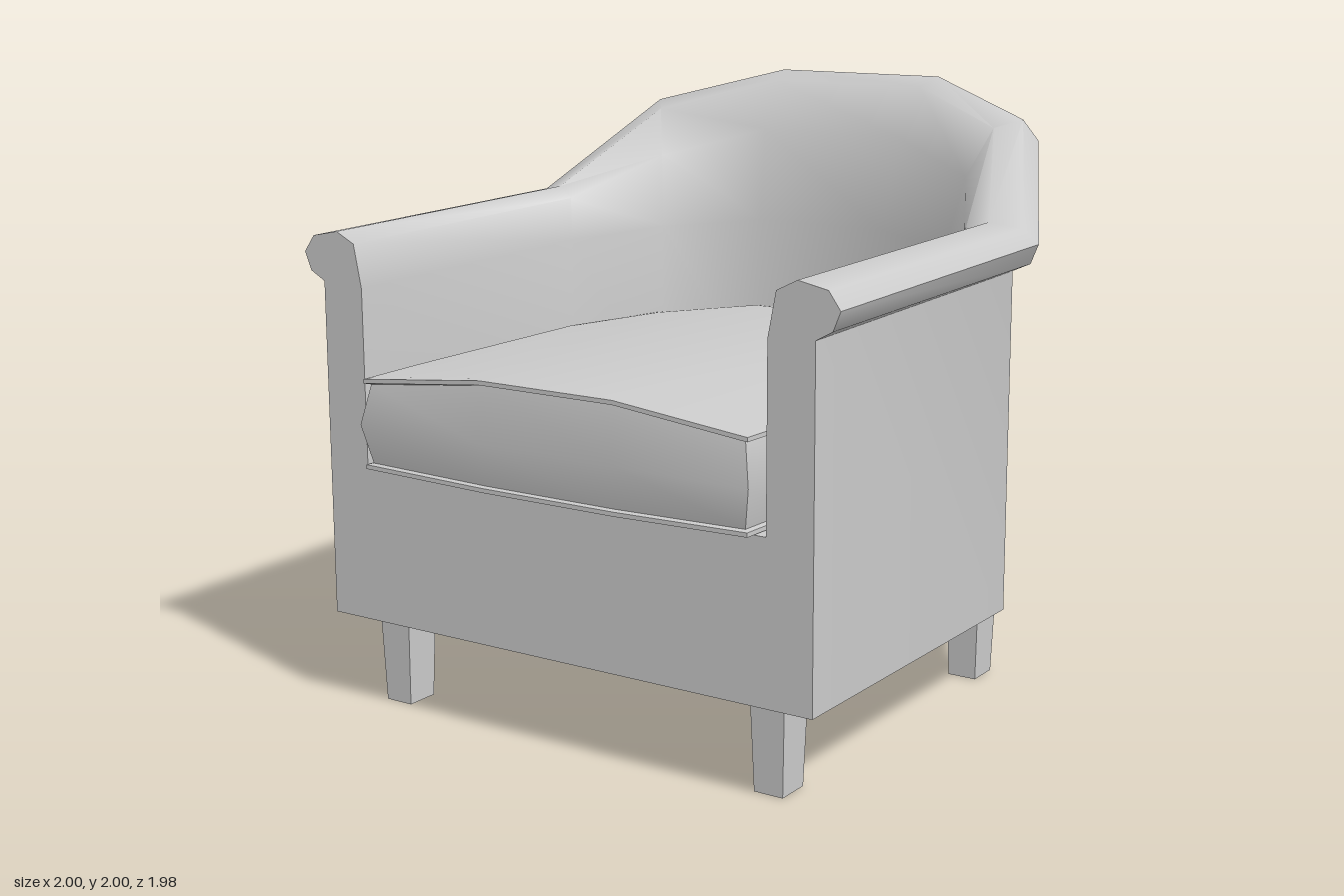
import * as THREE from 'three';
import { toCreasedNormals } from 'three/addons/utils/BufferGeometryUtils.js';

const material = new THREE.MeshStandardMaterial({ color: 0xcccccc, side: THREE.DoubleSide });

function part(name, geometry) {
  const mesh = new THREE.Mesh(geometry, material);
  mesh.name = name;
  return mesh;
}

// Skin a row of stations, each a column of [x, y, z] points
function skin(stations, crease, caps = []) {
  const m = stations[0].length;
  const index = [...caps];
  for (let i = 0; i < stations.length - 1; i++) {
    for (let j = 0; j < m - 1; j++) {
      const a = i * m + j, b = a + m;
      index.push(a, b, a + 1, b, b + 1, a + 1);
    }
  }
  const geometry = new THREE.BufferGeometry();
  geometry.setAttribute('position', new THREE.Float32BufferAttribute(stations.flat(2), 3));
  geometry.setIndex(index);
  return toCreasedNormals(geometry, crease);
}

const mirrorX = ([x, y, z]) => [-x, y, z];

// Cross-sections: outer wall, rolled top, inner wall; front of arm to middle of back
const ARM = [[0.92, 0.3], [0.92, 1.41], [0.975, 1.44], [1, 1.5], [0.96, 1.555],
  [0.86, 1.575], [0.79, 1.54], [0.762, 1.4], [0.76, 0.82]];
const SECTIONS = [
  ARM.map(([x, y]) => [x, y, 0.93]),
  [[0.92, 0.3, -0.3], [0.92, 1.44, -0.3], [0.975, 1.465, -0.315], [1, 1.53, -0.32], [0.96, 1.58, -0.29],
    [0.86, 1.6, -0.24], [0.79, 1.565, -0.21], [0.762, 1.42, -0.18], [0.76, 0.82, -0.18]],
  [[0.71, 0.3, -0.71], [0.71, 1.7, -0.71], [0.745, 1.725, -0.745], [0.77, 1.81, -0.78], [0.745, 1.885, -0.71],
    [0.68, 1.86, -0.62], [0.62, 1.7, -0.54], [0.575, 1.45, -0.48], [0.575, 0.82, -0.48]],
  [[0.3, 0.3, -0.9], [0.3, 1.81, -0.9], [0.31, 1.83, -0.945], [0.325, 1.94, -0.99], [0.32, 2, -0.9],
    [0.3, 1.97, -0.8], [0.275, 1.8, -0.7], [0.25, 1.48, -0.63], [0.25, 0.82, -0.63]],
];

function shellGeometry() {
  const other = SECTIONS.map((s) => s.map(mirrorX)).reverse();
  return skin([...SECTIONS, ...other], 0.95);
}

// Front panel with both arm ends
function frontGeometry() {
  const left = [...ARM].reverse().map(([x, y]) => [-x, y]);
  const outline = [...ARM, ...left].map(([x, y]) => new THREE.Vector2(x, y));
  return new THREE.ShapeGeometry(new THREE.Shape(outline)).translate(0, 0, 0.93);
}

// Flat deck under the cushion, following the inner wall
function deckGeometry() {
  const half = SECTIONS.map((s) => s[s.length - 1]);
  const outline = [...half, ...half.map(mirrorX).reverse()].map(([x, , z]) => new THREE.Vector2(x, -z));
  return new THREE.ShapeGeometry(new THREE.Shape(outline)).rotateX(-Math.PI / 2).translate(0, 0.82, 0);
}

// Crowned cushion with a bulging border and piping along top and bottom
function cushionGeometry() {
  const half = [[0.25, 0.97], [0.72, 0.97], [0.73, 0.7], [0.73, -0.13], [0.58, -0.45], [0.25, -0.61]];
  const ring = [...half, ...half.map(([x, z]) => [-x, z]).reverse()];
  // inset, height, crown
  const layers = [[0.02, 0.822, -0.01], [-0.005, 0.824, -0.01], [-0.005, 0.838, -0.01], [0.012, 0.842, -0.01],
    [-0.015, 0.97, 0], [0.012, 1.1, 0.05], [-0.005, 1.104, 0.05], [-0.005, 1.118, 0.05], [0.02, 1.122, 0.05]];
  const stations = ring.map(([x, z]) => layers.map(([inset, y, crown]) => [
    x * (1 - inset / 0.73),
    y + (Math.abs(x) < 0.3 ? crown : crown * Math.max(0, (0.72 - Math.abs(x)) / 0.47)),
    0.18 + (z - 0.18) * (1 - inset / 0.79),
  ]));
  const m = layers.length;
  const faces = [[0, 5, 6], [0, 6, 11]];
  for (let i = 1; i < 5; i++) faces.push([0, i, i + 1], [11, i + 5, i + 6]);
  const caps = faces.flatMap(([a, b, c]) => [
    a * m + m - 1, b * m + m - 1, c * m + m - 1,
    a * m, c * m, b * m,
  ]);
  return skin([...stations, stations[0]], 0.6, caps);
}

// Square leg, slightly narrower at the foot
function legGeometry() {
  const geometry = new THREE.BoxGeometry(0.12, 0.3, 0.135);
  const p = geometry.attributes.position;
  for (let i = 0; i < p.count; i++) {
    if (p.getY(i) < 0) p.setXYZ(i, p.getX(i) * 0.84, p.getY(i), p.getZ(i) * 0.86);
  }
  geometry.computeVertexNormals();
  return geometry;
}

export function createModel() {
  const model = new THREE.Group();
  model.name = 'armchair';
  model.add(
    part('armsAndBack', shellGeometry()),
    part('frontPanel', frontGeometry()),
    part('seatDeck', deckGeometry()),
    part('seatCushion', cushionGeometry()),
  );
  const leg = legGeometry();
  for (const [name, z] of [['front', 0.797], ['back', -0.45]]) {
    for (const side of [1, -1]) {
      const mesh = part(name + (side > 0 ? 'LeftLeg' : 'RightLeg'), leg);
      mesh.position.set(side * 0.725, 0.15, z);
      model.add(mesh);
    }
  }
  return model;
}
